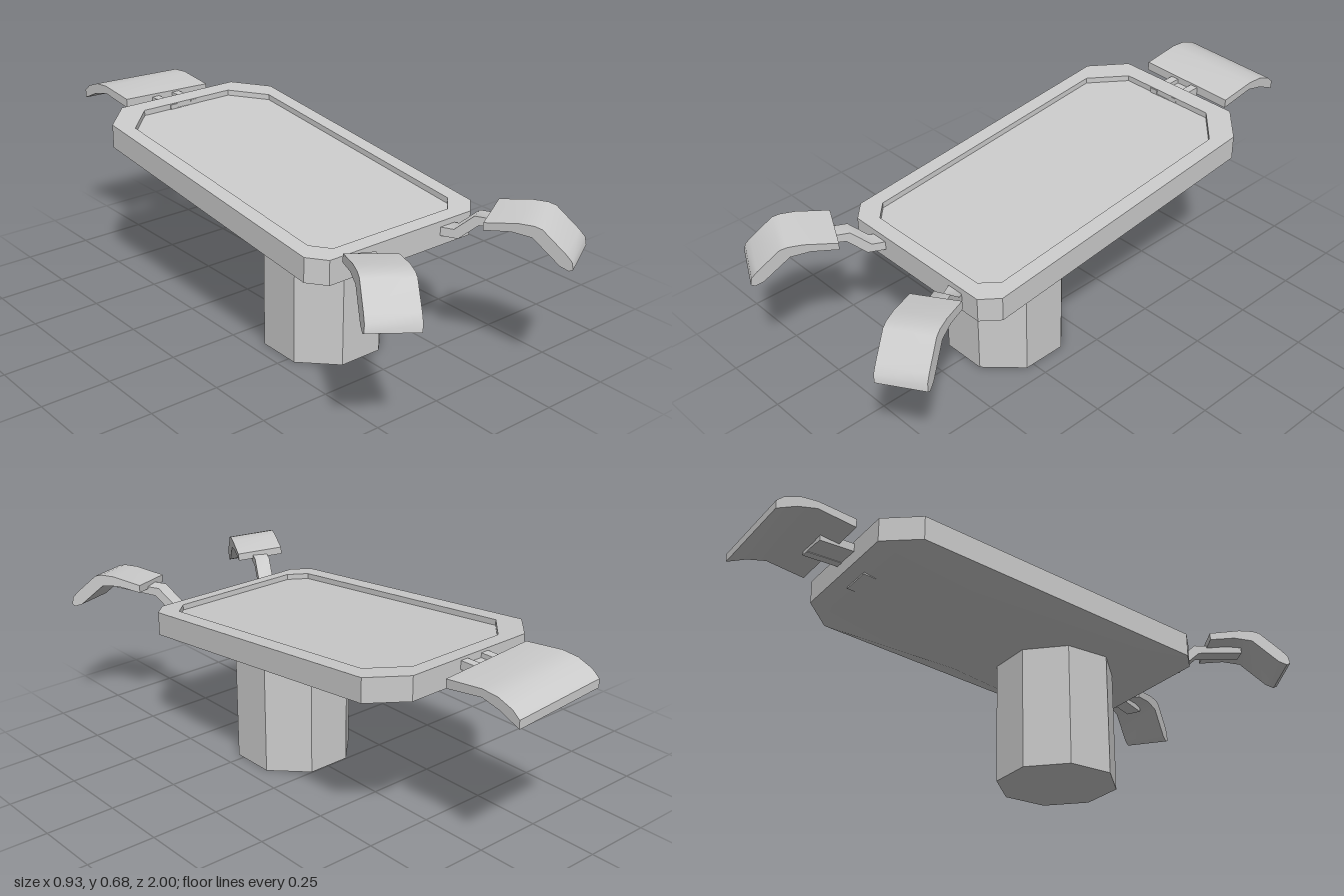
import * as THREE from 'three';
import { toCreasedNormals } from 'three/addons/utils/BufferGeometryUtils.js';
import { ConvexGeometry } from 'three/addons/geometries/ConvexGeometry.js';

const mat = new THREE.MeshStandardMaterial({ color: 0xcccccc });
const CX = -0.006; // table axis

function add(parent, name, geometry) {
  const mesh = new THREE.Mesh(geometry, mat);
  mesh.name = name;
  parent.add(mesh);
  return mesh;
}

// Chamfered plan outline as [x, z] points: half width, back z, front z, back and front corner cuts
function outline(w, back, front, cb, cf) {
  const half = [[w - cf, front], [w, front - cf], [w, back + cb], [w - cb, back]];
  return [...half, ...half.map(([x, z]) => [-x, z]).reverse()];
}
const toVectors = pts => pts.map(([x, z]) => new THREE.Vector2(x, -z));

// Height of the sloping table top at depth z
const topY = z => 0.52 + (0.575 - z) * 0.109;

// Lay a plan shape flat and shear it onto the slope
function layOnSlope(geometry, drop) {
  geometry.rotateX(-Math.PI / 2);
  const p = geometry.attributes.position;
  for (let i = 0; i < p.count; i++) p.setY(i, p.getY(i) + topY(p.getZ(i)) - drop);
  geometry.computeVertexNormals();
  return geometry;
}

// Side profile [along, height] extruded to a centred width
function strip(profile, width) {
  const shape = new THREE.Shape(profile.map(([s, y]) => new THREE.Vector2(s, y)));
  const g = new THREE.ExtrudeGeometry(shape, { depth: width, bevelEnabled: false });
  g.translate(0, 0, -width / 2);
  return toCreasedNormals(g, 0.75);
}

function buildTable() {
  const table = new THREE.Group();
  table.name = 'table';
  const outer = outline(0.353, -0.66, 0.575, 0.108, 0.055);
  const inner = outline(0.297, -0.6, 0.525, 0.11, 0.055);
  const thick = 0.085;

  // Rim around the recessed panel
  const ring = new THREE.Shape(toVectors(outer));
  ring.holes.push(new THREE.Path(toVectors(inner)));
  add(table, 'rim', layOnSlope(
    new THREE.ExtrudeGeometry(ring, { depth: thick, bevelEnabled: false }), thick));
  add(table, 'panel', layOnSlope(new THREE.ShapeGeometry(new THREE.Shape(toVectors(inner))), 0.02));

  // Faceted underside sinking to a level keel
  const points = outer.map(([x, z]) => new THREE.Vector3(x, topY(z) - thick, z));
  for (const x of [-0.18, 0.18]) points.push(new THREE.Vector3(x, 0.435, -0.12));
  add(table, 'underside', toCreasedNormals(new ConvexGeometry(points), 0.5));
  table.position.x = CX;
  return table;
}

// Curved pad on a cranked arm; side is +1 for left, -1 for right
function buildFrontRest(side) {
  const rest = new THREE.Group();
  rest.name = side > 0 ? 'leftFrontRest' : 'rightFrontRest';
  const pad = add(rest, 'pad', strip([
    [0, -0.022], [0.09, -0.01], [0.155, -0.018], [0.245, -0.1], [0.274, -0.112],
    [0.287, -0.105], [0.282, -0.078], [0.262, -0.055], [0.185, 0.016], [0.16, 0.023],
    [0.11, 0.023], [0, 0.005]], 0.17));
  pad.rotation.x = side * 0.09;
  add(rest, 'arm', strip([
    [-0.19, -0.1], [-0.095, -0.1], [-0.03, -0.042], [0.13, -0.032],
    [0.13, -0.01], [-0.045, -0.012], [-0.11, -0.07], [-0.19, -0.07]], 0.055));
  rest.position.set(side * 0.2525, 0.57, 0.7);
  rest.rotation.y = -Math.PI / 2 + side * 0.471;
  return rest;
}

function buildHeadRest() {
  const rest = new THREE.Group();
  rest.name = 'headRest';
  const pad = add(rest, 'pad', strip([
    [0, -0.02], [0.14, 0], [0.21, -0.018], [0.282, -0.052], [0.282, -0.022],
    [0.255, 0.002], [0.2, 0.023], [0.14, 0.028], [0, 0.012]], 0.365));
  pad.rotation.x = 0.045;
  // Channel-shaped arm: two rails joined by a lower web
  const web = add(rest, 'armWeb', new THREE.BoxGeometry(0.19, 0.012, 0.06));
  web.position.set(-0.025, -0.018, -0.008);
  for (const z of [-0.053, 0.037]) {
    const rail = add(rest, 'armRail', new THREE.BoxGeometry(0.19, 0.03, 0.03));
    rail.position.set(-0.025, -0.011, z);
  }
  rest.position.set(-0.016, 0.641, -0.718);
  rest.rotation.y = Math.PI / 2 + 0.03;
  return rest;
}

export function createModel() {
  const model = new THREE.Group();
  model.name = 'reclinedTable';

  // Octagonal pedestal with a flat side to the front
  const base = new THREE.CylinderGeometry(0.212, 0.212, 0.46, 8).rotateY(Math.PI / 8);
  const pedestal = add(model, 'pedestal', toCreasedNormals(base, 0.3));
  pedestal.position.set(CX, 0.23, 0.198);

  model.add(buildTable(), buildFrontRest(1), buildFrontRest(-1), buildHeadRest());

  // Small bracket below the head end
  const bracket = add(model, 'bracket', new THREE.BoxGeometry(0.12, 0.025, 0.07));
  bracket.position.set(-0.01, 0.56, -0.578);
  bracket.rotation.x = 0.11;
  return model;
}
